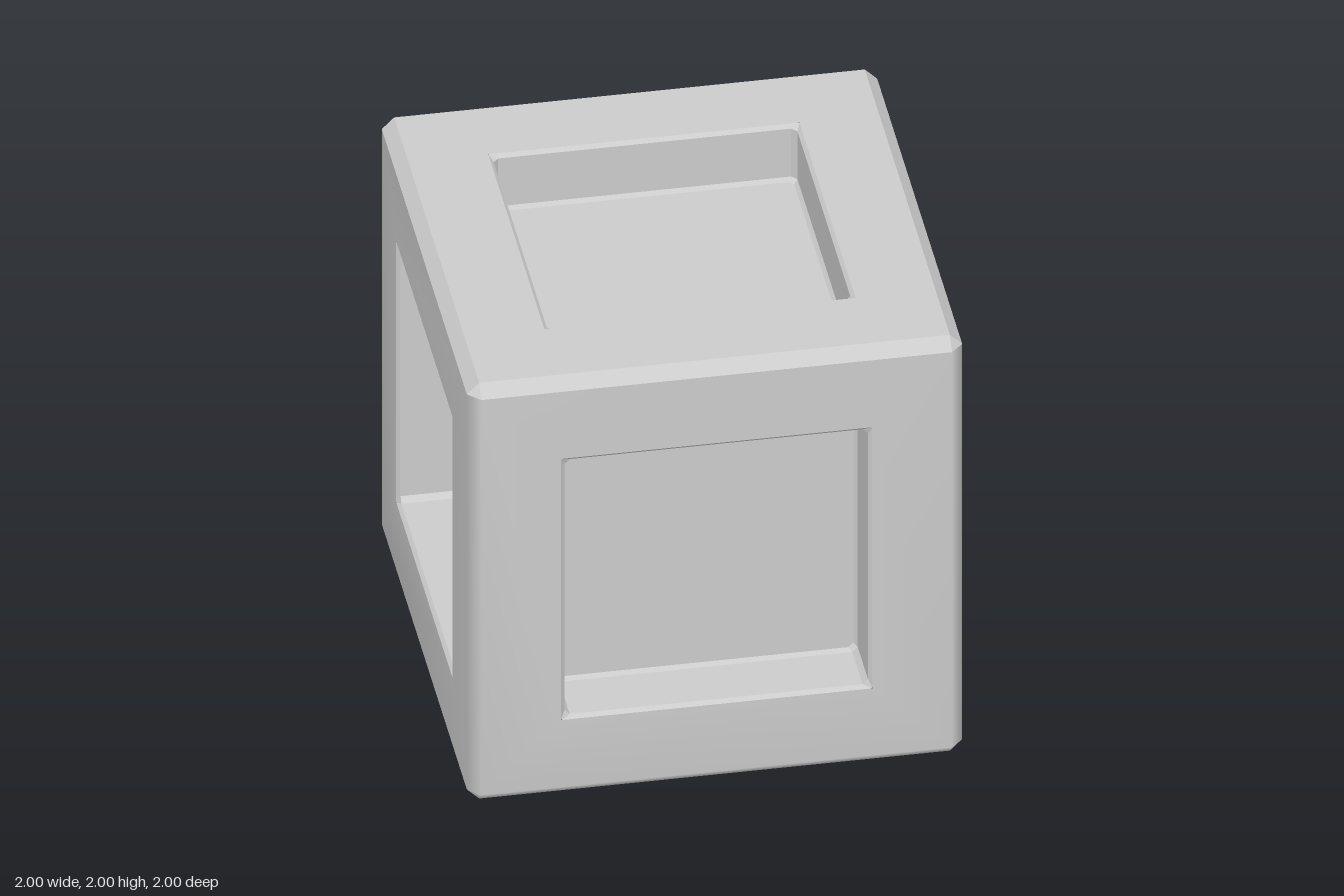
import * as THREE from 'three';
import { mergeGeometries, mergeVertices } from 'three/addons/utils/BufferGeometryUtils.js';

const E = 0.95;      // inner edge of the bevel
const OPEN = 0.628;  // half width of the recess mouth
const WALL = 0.613;  // half width of the recess walls
const DEPTH = 0.26;

// Faces (three or four corners, counter-clockwise) to a geometry
function fromFaces(faces) {
  const pos = [];
  for (const f of faces) {
    for (let i = 1; i < f.length - 1; i++) pos.push(...f[0], ...f[i], ...f[i + 1]);
  }
  const g = new THREE.BufferGeometry();
  g.setAttribute('position', new THREE.Float32BufferAttribute(pos, 3));
  g.computeVertexNormals();
  return g;
}

// Square with cut corners, eight points counter-clockwise
function ring(h, cut, z) {
  const k = h - cut;
  return [[k, -h], [h, -k], [h, k], [k, h], [-k, h], [-h, k], [-h, -k], [-k, -h]]
    .map(([x, y]) => [x, y, z]);
}

// Strips between neighbouring rings
function strips(rings) {
  const faces = [];
  for (let r = 0; r < rings.length - 1; r++) {
    const a = rings[r], b = rings[r + 1], n = a.length;
    for (let i = 0; i < n; i++) {
      const j = (i + 1) % n;
      faces.push([a[i], a[j], b[j], b[i]]);
    }
  }
  return faces;
}

const square = (h, z) => [[h, -h, z], [h, h, z], [-h, h, z], [-h, -h, z]];

export function createModel() {
  const model = new THREE.Group();
  const material = new THREE.MeshStandardMaterial({ color: 0xcccccc });
  const add = (name, geometry) => {
    geometry.translate(0, 1, 0);
    const mesh = new THREE.Mesh(geometry, material);
    mesh.name = name;
    model.add(mesh);
  };

  // Frame around a recess, facing +z
  const frame = strips([square(E, 1), square(OPEN, 1)]);

  // One side: frame, right bevel, bottom bevel and bottom corner
  const side = fromFaces([
    ...frame,
    [[E, -E, 1], [1, -E, E], [1, E, E], [E, E, 1]],
    [[-E, -E, 1], [-E, -1, E], [E, -1, E], [E, -E, 1]],
    [[E, -E, 1], [E, -1, E], [1, -E, E]],
  ]);

  // Top bevel and its corner
  const rim = fromFaces([
    [[-E, E, 1], [E, E, 1], [E, 1, E], [-E, 1, E]],
    [[E, E, 1], [1, E, E], [E, 1, E]],
  ]);

  // Recess: small lip, straight walls, narrow fillet and floor
  const floor = ring(WALL - 0.015, 0.02, 1 - DEPTH);
  const recess = fromFaces([
    ...strips([
      ring(OPEN, 0.004, 1),
      ring(WALL, 0.022, 0.985),
      ring(WALL, 0.022, 1 - DEPTH + 0.015),
      floor,
    ]),
    floor,
  ]);

  // Sides and bottom share soft normals across their bevels
  const quarter = (g, i) => g.clone().rotateY(i * Math.PI / 2);
  const bottom = fromFaces([square(E, 1)]).rotateX(Math.PI / 2);
  const shell = mergeGeometries([...[0, 1, 2, 3].map(i => quarter(side, i)), bottom]);
  shell.deleteAttribute('normal');
  const softShell = mergeVertices(shell, 1e-4);
  softShell.computeVertexNormals();
  add('cubeShell', softShell);

  // Crisp top
  const topFrame = fromFaces(frame).rotateX(-Math.PI / 2);
  add('topFrame', mergeGeometries([topFrame, ...[0, 1, 2, 3].map(i => quarter(rim, i))]));

  // Recesses on the four sides and the top
  ['front', 'left', 'back', 'right'].forEach((name, i) => add(name + 'Recess', quarter(recess, i)));
  add('topRecess', recess.clone().rotateX(-Math.PI / 2));

  return model;
}
